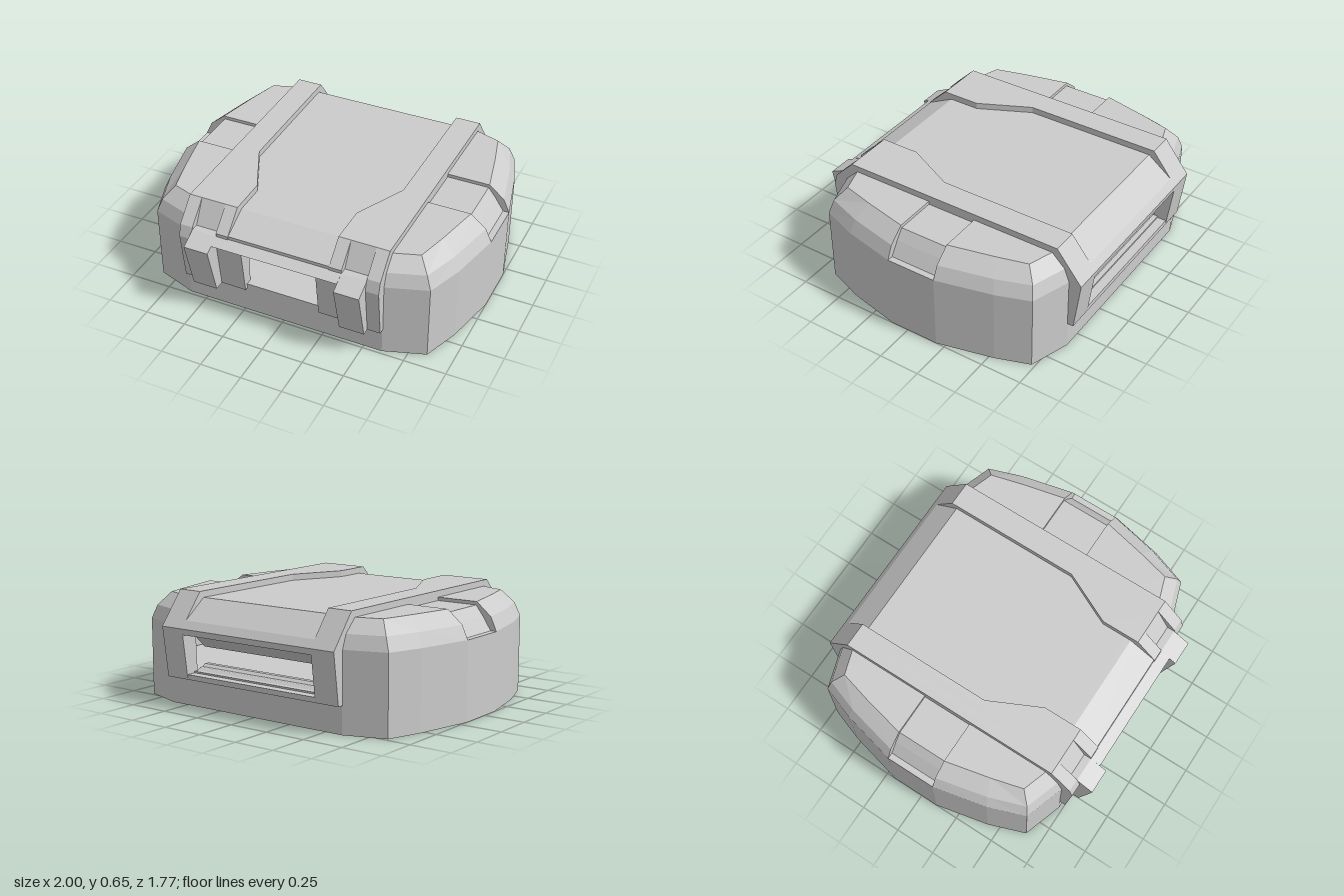
import * as THREE from 'three';

const mat = new THREE.MeshStandardMaterial({ color: 0xcccccc, flatShading: true, side: THREE.DoubleSide });

export function createModel() {
  const root = new THREE.Group();
  const add = (name, geo) => {
    const m = new THREE.Mesh(geo, mat);
    m.name = name;
    root.add(m);
  };
  const poly = pts => new THREE.Shape(pts.map(p => new THREE.Vector2(p[0], p[1])));

  // A [z, y] profile swept from x0 to x1
  const sweep = (name, pts, x0, x1) => {
    const g = new THREE.ExtrudeGeometry(poly(pts.map(([z, y]) => [-z, y])), { depth: x1 - x0, bevelEnabled: false });
    add(name, g.rotateY(Math.PI / 2).translate(x0, 0, 0));
  };
  const sweepPair = (name, pts, x0, x1) => {
    sweep(name + 'Left', pts, x0, x1);
    sweep(name + 'Right', pts, -x1, -x0);
  };
  // An [x, z] outline raised from y0 to y1
  const plate = (name, pts, y0, y1, holes = []) => {
    const s = poly(pts.map(([x, z]) => [x, -z]));
    holes.forEach(h => s.holes.push(poly(h.map(([x, z]) => [x, -z]))));
    const g = new THREE.ExtrudeGeometry(s, { depth: y1 - y0, bevelEnabled: false });
    add(name, g.rotateX(-Math.PI / 2).translate(0, y0, 0));
  };
  const box = (name, x0, x1, y0, y1, z0, z1) =>
    add(name, new THREE.BoxGeometry(x1 - x0, y1 - y0, z1 - z0).translate((x0 + x1) / 2, (y0 + y1) / 2, (z0 + z1) / 2));
  const boxPair = (name, x0, x1, ...r) => {
    box(name + 'Left', x0, x1, ...r);
    box(name + 'Right', -x1, -x0, ...r);
  };

  // Bowed side shells with a chamfered top and a shallow groove in the middle
  const wall = [[.61, .73], [.85, .65], [.93, .43], [1, .11], [1, .11], [1, -.195], [1, -.195], [.92, -.53], [.85, -.73], [.61, -.81]];
  const grooved = wall.map(([x, z], i) => [i > 3 && i < 6 ? .963 : x, z]);
  const middle = [[.61, .7], [.82, .63], [.895, .415], [.963, .11], [.91, .11], [.91, -.195], [.963, -.195], [.89, -.51], [.82, -.71], [.61, -.78]];
  const top = [[.61, .62], [.76, .57], [.81, .38], [.87, .11], [.865, .11], [.865, -.195], [.87, -.195], [.81, -.46], [.76, -.65], [.61, -.7]];
  const level = (ring, y) => ring.map(([x, z], i) => [x, y - (y > .6 && i > 3 && i < 6 ? .02 : 0), z]);
  const rings = [level(wall, 0), level(wall, .46), level(grooved, .46), level(middle, .54), level(top, .617)];
  rings.push(rings[4].map(([, y, z]) => [.5, y, z]));
  for (const s of [1, -1]) {
    const pos = [];
    const put = (...ps) => (s > 0 ? ps : ps.reverse()).forEach(p => pos.push(p[0] * s, p[1], p[2]));
    for (let j = 0; j < rings.length - 1; j++) {
      for (let i = 0; i < wall.length - 1; i++) {
        const a = rings[j][i], b = rings[j][i + 1], c = rings[j + 1][i + 1], d = rings[j + 1][i];
        put(a, b, c);
        put(a, c, d);
      }
    }
    const g = new THREE.BufferGeometry();
    g.setAttribute('position', new THREE.Float32BufferAttribute(pos, 3));
    g.computeVertexNormals();
    add(s > 0 ? 'sideShellLeft' : 'sideShellRight', g);
  }

  // Lower front and back walls and the posts beside the windows
  box('frontWall', -.61, .61, 0, .16, .722, .73);
  box('backWall', -.61, .61, 0, .16, -.81, -.802);
  boxPair('frontPost', .23, .61, .16, .5, .69, .73);
  boxPair('backPost', .46, .61, .16, .5, -.81, -.77);

  // Recessed floor with two pockets
  const half = [[.61, .73], [.84, .64], [.92, .43], [.99, .11], [.99, -.2], [.91, -.53], [.84, -.72], [.61, -.81]];
  const mirror = pts => pts.map(([x, z]) => [-x, z]);
  const cut = [[.4, -.1], [.36, .08], [.45, .12], [.36, .32], [.55, .36], [.88, .17], [.9, -.13]];
  const rim = cut.map(([x, z]) => [.62 + (x - .62) * 1.03, .1 + (z - .1) * 1.03]);
  plate('floor', [...half, ...mirror(half).reverse()], .16, .19, [cut, mirror(cut)]);
  plate('pocketWallLeft', rim, .19, .54, [cut]);
  plate('pocketWallRight', mirror(rim), .19, .54, [mirror(cut)]);

  // Raised straps running over the lid
  const strapBack = [[-.73, .655], [-.885, .46], [-.845, .16]];
  const strapInner = [[-.76, .16], [-.78, .45], [-.66, .58]];
  sweepPair('outerStrap', [[.765, .16], [.8, .46], [.78, .53], [.655, .655], ...strapBack,
    ...strapInner, [.58, .58], [.69, .45], [.68, .16]], .535, .613);
  sweepPair('innerStrap', [[.655, .655], ...strapBack, ...strapInner, [.58, .58]], .46, .535);
  const widening = [[.31, .65], [.31, .42], [.46, .11], [.47, .11], [.47, .65]];
  plate('strapWideningLeft', widening, .59, .655);
  plate('strapWideningRight', mirror(widening), .59, .655);
  // Strap ends: a full slope beside the lip and a steep slot behind each latch leg
  sweepPair('strapSlope', [[.58, .55], [.58, .655], [.655, .655], [.78, .535], [.78, .49], [.69, .46]], .31, .385);
  sweepPair('latchSlot', [[.58, .55], [.58, .655], [.655, .655], [.735, .515], [.735, .46], [.69, .46]], .385, .535);

  // Central lid panel with a narrower front lip, its back edge flush with the straps
  sweep('lidPanel', [[.6, .617], [-.7, .617], [-.85, .504], [-.885, .46], [-.88, .425],
    [-.78, .425], [-.66, .58], [.6, .58]], -.465, .465);
  sweep('lidLip', [[.775, .46], [.775, .535], [.61, .617], [.58, .617], [.58, .58], [.7, .49], [.7, .46]], -.385, .385);

  // Front latch: two legs, inner cheeks and a cross bar
  sweepPair('latchLeg', [[.72, .16], [.81, .16], [.885, .465], [.78, .515], [.73, .515]], .385, .535);
  sweepPair('latchCheek', [[.71, .16], [.75, .16], [.785, .46], [.71, .46]], .23, .385);
  sweep('latchBar', [[.74, .485], [.835, .485], [.842, .488], [.78, .515], [.74, .515]], -.385, .385);

  // Back window sill and its slats
  box('backWindowSill', -.46, .46, .16, .19, -.845, -.76);
  sweep('lowerSlat', [[-.79, .19], [-.79, .2], [-.76, .2], [-.74, .215], [-.72, .215], [-.7, .23], [-.67, .23], [-.67, .19]], -.46, .46);
  sweep('upperSlat', [[-.80, .425], [-.70, .33], [-.67, .33], [-.67, .5], [-.78, .5]], -.46, .46);

  return root;
}
